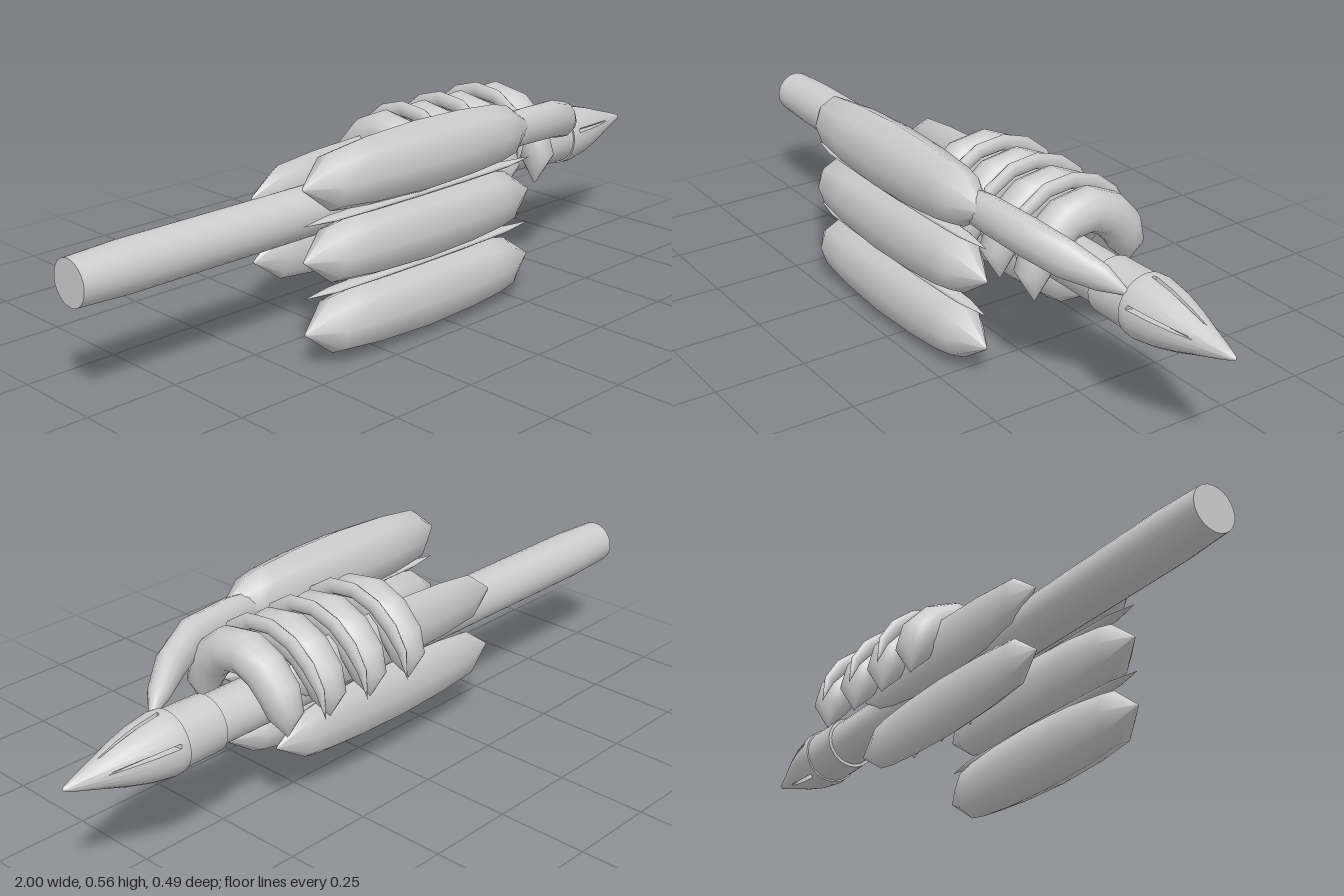
import * as THREE from 'three';
import { toCreasedNormals } from 'three/addons/utils/BufferGeometryUtils.js';

const AXIS_Y = 0.32, AXIS_Z = -0.038;

// Lofts elliptical rings along stations [x, y, z, a, b]; a lies along ref, b across it.
function loft(stations, ref, sides) {
  const pts = stations.map(s => new THREE.Vector3(s[0], s[1], s[2]));
  const pos = [], index = [], n = pts.length;
  pts.forEach((p, i) => {
    const t = pts[Math.min(i + 1, n - 1)].clone().sub(pts[Math.max(i - 1, 0)]).normalize();
    const u = ref.clone().addScaledVector(t, -ref.dot(t)).normalize();
    const v = t.clone().cross(u);
    for (let j = 0; j < sides; j++) {
      const w = (j / sides) * Math.PI * 2;
      const q = p.clone().addScaledVector(u, stations[i][3] * Math.cos(w))
        .addScaledVector(v, stations[i][4] * Math.sin(w));
      pos.push(q.x, q.y, q.z);
      if (i < n - 1) {
        const k = (j + 1) % sides, r = i * sides;
        index.push(r + j, r + k, r + sides + j, r + k, r + sides + k, r + sides + j);
      }
    }
  });
  const g = new THREE.BufferGeometry();
  g.setAttribute('position', new THREE.Float32BufferAttribute(pos, 3));
  g.setIndex(index);
  g.computeVertexNormals();
  return g;
}

// Turned profile of [x, radius] pairs around the long axis
function turned(profile, sides, reshape) {
  let g = new THREE.LatheGeometry(profile.map(([x, r]) => new THREE.Vector2(r, x)), sides, -Math.PI / 2);
  if (reshape) reshape(g.attributes.position, profile.length);
  g.rotateZ(-Math.PI / 2);
  g.translate(0, AXIS_Y, AXIS_Z);
  return toCreasedNormals(g, 0.6);
}

export function createModel() {
  const model = new THREE.Group();
  const grey = new THREE.MeshStandardMaterial({ color: 0xcccccc });
  grey.name = 'light grey';
  const X = new THREE.Vector3(1, 0, 0), Y = new THREE.Vector3(0, 1, 0);
  const add = (name, geometry) => {
    const m = new THREE.Mesh(geometry, grey);
    m.name = name;
    model.add(m);
  };

  // Long barrel with a collar before the nose
  add('barrel', turned([[-1, 0], [-1, 0.06], [-0.86, 0.066], [0.6, 0.066]], 24));
  add('collar', turned([[0.57, 0.05], [0.57, 0.075], [0.7, 0.077], [0.7, 0.05]], 24));

  // Pointed nose with five tapering V grooves
  const nose = [[0.69, 0.05], [0.69, 0.081], [0.715, 0.083], [0.718, 0.0825], [0.78, 0.073],
    [0.84, 0.057], [0.9, 0.037], [0.96, 0.018], [0.995, 0.006], [1, 0]];
  add('nose', turned(nose, 90, (p, rows) => {
    for (let i = 0; i < p.count; i++) {
      const x = p.getY(i), r = Math.hypot(p.getX(i), p.getZ(i));
      if (Math.floor(i / rows) % 18 || x < 0.717 || x > 0.89) continue;
      const k = 1 - (0.032 * (0.9 - x) / 0.18) / r;
      p.setXYZ(i, p.getX(i) * k, x, p.getZ(i) * k);
    }
  }));

  // Eight-sided pods: three in front, two slimmer ones behind
  const podProfile = [[-0.41, 0], [-0.405, 0.06], [-0.32, 0.77], [-0.2, 0.92], [-0.03, 1],
    [0.13, 0.96], [0.25, 0.86], [0.31, 0.74], [0.405, 0.05], [0.41, 0]];
  const pod = (name, x, y, z, a, b) =>
    add(name, loft(podProfile.map(([d, s]) => [x + d, y, z, a * s, b * s]), Y, 8));
  [0.097, 0.283, 0.466].forEach(y => pod('frontPod', -0.07, y, 0.165, 0.096, 0.08));
  [0.2, 0.37].forEach(y => pod('rearPod', -0.01, y, -0.095, 0.088, 0.045));

  // Thin links between the stacked front pods
  [0.19, 0.374].forEach(y => pod('podLink', -0.07, y, 0.167, 0.008, 0.026));

  // Arm joining the top pod to the nose
  add('arm', loft([[0.18, 0.455, 0.15, 0, 0], [0.24, 0.455, 0.15, 0.045, 0.035],
    [0.32, 0.456, 0.148, 0.052, 0.036], [0.46, 0.45, 0.138, 0.053, 0.04], [0.56, 0.422, 0.1, 0.05, 0.038],
    [0.64, 0.392, 0.052, 0.034, 0.028], [0.69, 0.367, 0.02, 0.008, 0.008], [0.7, 0.362, 0.014, 0, 0]], Y, 12));

  // Curved ribs [z, y, radius] hooked over the barrel
  const rib = [[0.1, 0.26, 0], [0.1, 0.267, 0.005], [0.108, 0.34, 0.046], [0.075, 0.41, 0.054],
    [0.015, 0.456, 0.057], [-0.055, 0.466, 0.058], [-0.115, 0.44, 0.057], [-0.16, 0.394, 0.055],
    [-0.18, 0.345, 0.046], [-0.185, 0.292, 0.005], [-0.185, 0.285, 0]];
  for (let i = 0; i < 4; i++) {
    const x = 0.01 + i * 0.145;
    add('rib', loft(rib.map(([z, y, r]) => [x, y, z, r * 0.97, r]), X, 14));
  }

  // Slender claws between the ribs
  const claw = [[0.1, 0.33, 0], [0.105, 0.4, 0.016], [0.08, 0.465, 0.021], [0.015, 0.505, 0.022],
    [-0.06, 0.513, 0.022], [-0.13, 0.492, 0.022], [-0.187, 0.448, 0.021],
    [-0.226, 0.395, 0.015], [-0.245, 0.325, 0]];
  for (let i = 0; i < 3; i++) {
    const x = 0.082 + i * 0.146;
    add('claw', loft(claw.map(([z, y, r]) => [x, y, z, r * 0.6, r]), X, 8));
  }
  return model;
}
